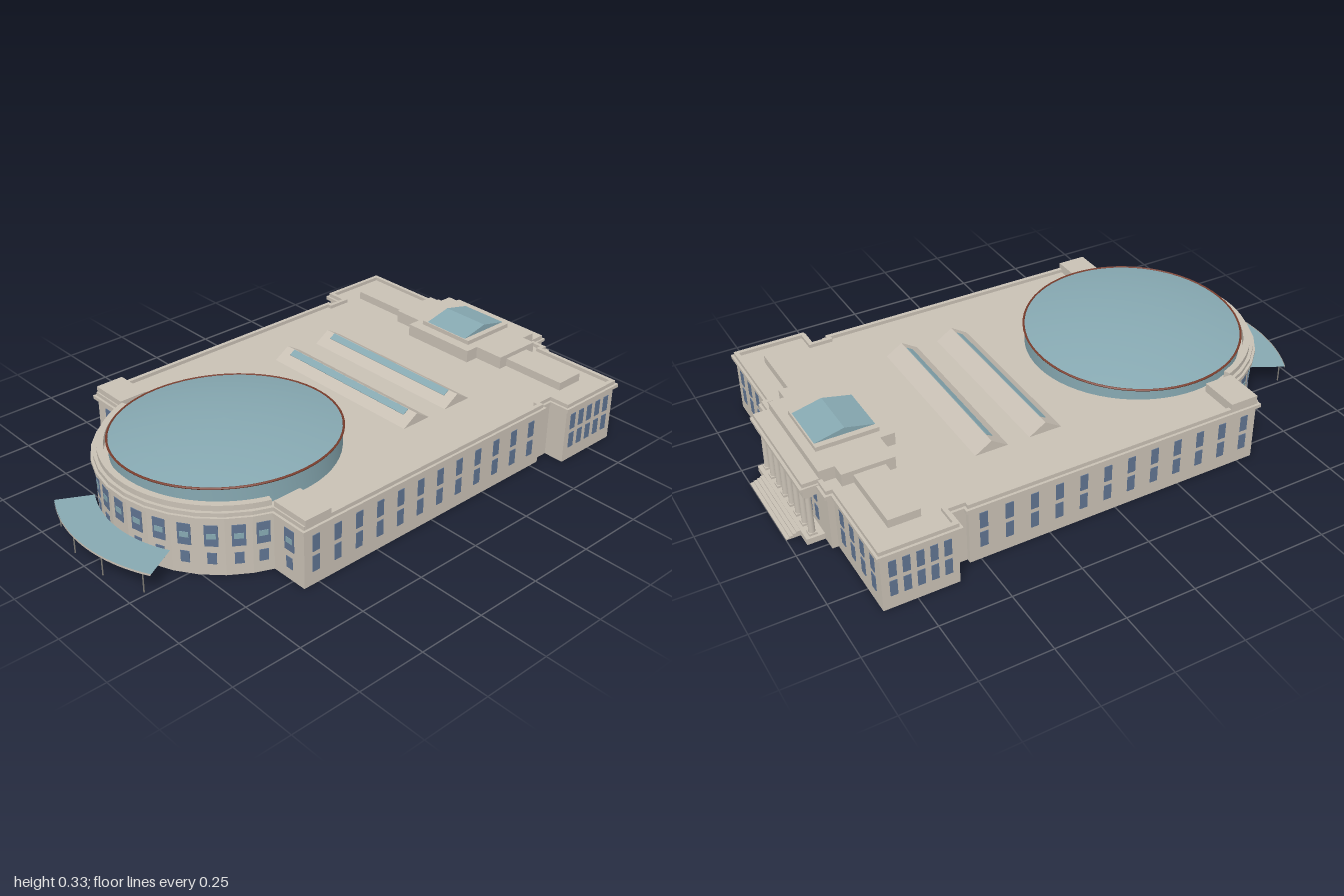
import * as THREE from 'three';

const D = THREE.DoubleSide;
const mat = (name, color, side = THREE.FrontSide, flatShading = false) =>
  Object.assign(new THREE.MeshStandardMaterial({ color, side, flatShading }), { name });
const stone = mat('stone', 0xc8c0b4, D, true);
const shaft = mat('column stone', 0xc8c0b4);
shaft.color = stone.color;
const glass = mat('teal glass', 0x86a8b1, D);
const pane = mat('window blue', 0x5f7390);
const rimRed = mat('rim red', 0x7a3d2c);
const metal = mat('post grey', 0x7d7a74);

const ROOF = 0.222, CZ = 0.42, R = 0.435, BAY = 11.3;
const rad = THREE.MathUtils.degToRad;

export function createModel() {
  const root = new THREE.Group();
  const add = (name, geo, material = stone, parent = root) => {
    const m = new THREE.Mesh(geo, material);
    m.name = name;
    parent.add(m);
    return m;
  };
  const group = (name) => {
    const g = new THREE.Group();
    g.name = name;
    root.add(g);
    return g;
  };
  // box from its limits
  const box = (name, x0, x1, y0, y1, z0, z1, material = stone, parent = root) =>
    add(name, new THREE.BoxGeometry(x1 - x0, y1 - y0, z1 - z0)
      .translate((x0 + x1) / 2, (y0 + y1) / 2, (z0 + z1) / 2), material, parent);
  // thin plate facing the direction of angle a
  const plate = (name, w, y0, y1, x, z, a, material, parent, t = 0.005) => {
    const m = add(name, new THREE.BoxGeometry(w, y1 - y0, t), material, parent);
    m.position.set(x, (y0 + y1) / 2, z);
    m.rotation.y = a;
  };

  // half plan from the front centre round to the back, then mirrored
  const half = [];
  for (let i = 0; i < 6; i++) half.push(rad(BAY * (i + 0.5)));
  half.push(rad(71.2));
  const right = half.map((a) => [R * Math.sin(a), CZ + R * Math.cos(a)]);
  right.push([0.552, 0.56], [0.552, -0.54], [0.535, -0.54], [0.535, -0.605], [0.612, -0.605],
    [0.612, -0.865], [0.275, -0.865], [0.275, -0.887]);
  const plan = [...right, ...right.slice().reverse().map(([x, z]) => [-x, z])];
  const n = plan.length;
  // plan pushed outwards by d with mitred corners
  const offset = (d) => plan.map((p, i) => {
    const a = plan[(i + n - 1) % n], b = plan[(i + 1) % n];
    const normal = (s, e) => new THREE.Vector2(s[1] - e[1], e[0] - s[0]).normalize();
    const n1 = normal(a, p), n2 = normal(p, b);
    const k = d / (1 + n1.dot(n2));
    return new THREE.Vector2(p[0] + k * (n1.x + n2.x), p[1] + k * (n1.y + n2.y));
  });
  const band = (name, outer, inner, y0, y1) => {
    const s = new THREE.Shape(offset(outer));
    s.holes.push(new THREE.Path(offset(inner)));
    const g = new THREE.ExtrudeGeometry(s, { depth: y1 - y0, bevelEnabled: false });
    add(name, g.rotateX(Math.PI / 2).translate(0, y1, 0));
  };

  // outer walls, open at the bottom
  const v = [];
  plan.forEach((p, i) => {
    const q = plan[(i + 1) % n];
    const A = [p[0], 0, p[1]], B = [q[0], 0, q[1]], C = [q[0], ROOF, q[1]], E = [p[0], ROOF, p[1]];
    v.push(...A, ...B, ...C, ...A, ...C, ...E);
  });
  const walls = new THREE.BufferGeometry();
  walls.setAttribute('position', new THREE.Float32BufferAttribute(v, 3));
  walls.computeVertexNormals();
  add('walls', walls);
  add('roof', new THREE.ShapeGeometry(new THREE.Shape(offset(0))).rotateX(Math.PI / 2).translate(0, ROOF, 0));
  band('cornice', 0.012, -0.004, 0.208, 0.221);
  band('parapet', 0.003, -0.012, 0.221, 0.235);

  // raised curved attic over the front, and corner blocks beside it
  const arc = new THREE.Shape();
  arc.absarc(0, 0, 0.425, rad(19), rad(161), false);
  arc.absarc(0, 0, 0.402, rad(161), rad(19), true);
  add('curvedAttic', new THREE.ExtrudeGeometry(arc, { depth: 0.035, bevelEnabled: false, curveSegments: 26 })
    .rotateX(Math.PI / 2).translate(0, 0.255, CZ));
  for (const s of [-1, 1]) {
    box('cornerBlock', s * 0.483 - 0.073, s * 0.483 + 0.073, ROOF, 0.255, 0.452, 0.558);
    box('wingRoofBlock', s * 0.385 - 0.13, s * 0.385 + 0.13, ROOF, 0.252, -0.79, -0.68);
  }

  // slanted dome on a glass drum
  const tilt = (g) => {
    const p = g.attributes.position;
    for (let i = 0; i < p.count; i++) if (p.getY(i) > 0.25) p.setY(i, p.getY(i) + 0.05 * p.getX(i));
    g.computeVertexNormals();
    return g.translate(0, 0, CZ);
  };
  const profile = [];
  for (let i = 0; i <= 10; i++) {
    const r = 1 - i / 10;
    profile.push(new THREE.Vector2(0.39 * r, 0.28 + 0.045 * (1 - r * r)));
  }
  add('dome', tilt(new THREE.LatheGeometry(profile, 64)), glass);
  add('domeDrum', tilt(new THREE.LatheGeometry([new THREE.Vector2(0.388, ROOF), new THREE.Vector2(0.388, 0.28)], 64)), glass);
  add('domeRim', tilt(new THREE.TorusGeometry(0.391, 0.004, 6, 64).rotateX(Math.PI / 2).translate(0, 0.28, 0)), rimRed);

  // gabled prisms with the ridge along x
  const prism = (name, w, z0, z1, y0, y1, material) => {
    const s = new THREE.Shape([new THREE.Vector2(-z1, y0), new THREE.Vector2(-z0, y0), new THREE.Vector2(-(z0 + z1) / 2, y1)]);
    add(name, new THREE.ExtrudeGeometry(s, { depth: 2 * w, bevelEnabled: false })
      .rotateY(Math.PI / 2).translate(-w, 0, 0), material);
  };
  for (const z of [-0.34, -0.14]) {
    prism('roofRidge', 0.335, z - 0.06, z + 0.06, ROOF, 0.26, stone);
    const strip = add('ridgeGlass', new THREE.BoxGeometry(0.59, 0.004, 0.026), glass);
    strip.position.set(0, 0.2527, z + 0.0125);
    strip.rotation.x = Math.atan2(0.038, 0.06);
  }

  // stepped attic and skylight over the rear wing
  box('rearAttic', -0.265, 0.265, ROOF, 0.268, -0.83, -0.645);
  box('rearAtticBack', -0.215, 0.215, ROOF, 0.268, -0.885, -0.83);
  box('rearAtticFront', -0.15, 0.15, ROOF, 0.268, -0.645, -0.593);
  box('skylightCurb', -0.117, 0.117, 0.268, 0.284, -0.853, -0.632);
  prism('skylight', 0.095, -0.848, -0.636, 0.284, 0.308, glass);

  // rear portico
  box('porticoBase', -0.22, 0.22, 0, 0.022, -0.95, -0.885);
  box('entablature', -0.215, 0.215, 0.185, 0.215, -0.943, -0.885);
  box('porticoCornice', -0.222, 0.222, 0.215, 0.225, -0.953, -0.885);
  box('porticoParapet', -0.215, 0.215, 0.225, 0.24, -0.943, -0.885);
  for (let i = 0; i < 4; i++) {
    box('step', -0.165, 0.165, 0, 0.02 - i * 0.005, -0.963 - i * 0.0123, -0.95);
  }
  const columns = group('columns');
  for (let i = 0; i < 8; i++) {
    const x = -0.196 + i * 0.056;
    add('column', new THREE.CylinderGeometry(0.0095, 0.0115, 0.15, 16).translate(x, 0.102, -0.922), shaft, columns);
    box('capital', x - 0.013, x + 0.013, 0.175, 0.186, -0.935, -0.909, stone, columns);
    box('columnBase', x - 0.014, x + 0.014, 0.022, 0.03, -0.936, -0.908, stone, columns);
  }

  // windows of the curved front
  const win = group('windows');
  const tall = (x, z, a) => {
    plate('upperWindow', 0.044, 0.11, 0.188, x, z, a, pane, win);
    plate('upperWindowGlass', 0.03, 0.138, 0.158, x, z, a, glass, win, 0.008);
  };
  for (let i = -6; i <= 6; i++) {
    const a = rad(Math.sign(i) * Math.min(Math.abs(i) * BAY, 66.7));
    const r = R * Math.cos(rad(Math.abs(i) === 6 ? 4.5 : BAY / 2));
    const x = r * Math.sin(a), z = CZ + r * Math.cos(a);
    tall(x, z, a);
    if (i) plate('lowerWindow', 0.03, 0.043, 0.085, x, z, a, pane, win);
    else plate('frontDoor', 0.046, 0, 0.067, x, z, a, pane, win);
  }
  // windows of the straight walls
  const rows = [[0.05, 0.108], [0.125, 0.185]];
  for (const s of [-1, 1]) {
    tall(s * 0.484, 0.56, 0);
    plate('lowerWindow', 0.028, 0.043, 0.085, s * 0.484, 0.56, 0, pane, win);
    for (const [y0, y1] of rows) {
      for (let i = 0; i < 12; i++) plate('sideWindow', 0.028, y0, y1, s * 0.552, 0.513 - i * 0.091, Math.PI / 2, pane, win);
      for (let i = 0; i < 5; i++) plate('wingSideWindow', 0.025, y0, y1, s * 0.612, -0.642 - i * 0.046, Math.PI / 2, pane, win);
      for (let i = 0; i < 4; i++) plate('rearWindow', 0.028, y0, y1, s * (0.33 + i * 0.076), -0.865, 0, pane, win);
    }
  }
  for (const [y0, y1] of rows)
    for (let i = -3; i <= 3; i++) plate('porticoWindow', 0.026, y0, y1 - 0.005, i * 0.056, -0.887, 0, pane, win);

  // entrance canopy on thin posts
  const h = rad(28);
  add('canopy', new THREE.RingGeometry(0.445, 0.578, 24, 1, Math.PI / 2 - h, 2 * h)
    .rotateX(Math.PI / 2).translate(0, 0.084, CZ), glass);
  add('canopyEdge', new THREE.CylinderGeometry(0.579, 0.579, 0.008, 24, 1, true, -h, 2 * h)
    .translate(0, 0.083, CZ), stone);
  for (const a of [-24.5, -8, 8, 24.5].map(rad)) {
    add('canopyPost', new THREE.CylinderGeometry(0.0025, 0.0025, 0.083, 8)
      .translate(0.567 * Math.sin(a), 0.0415, CZ + 0.567 * Math.cos(a)), metal);
  }
  return root;
}
